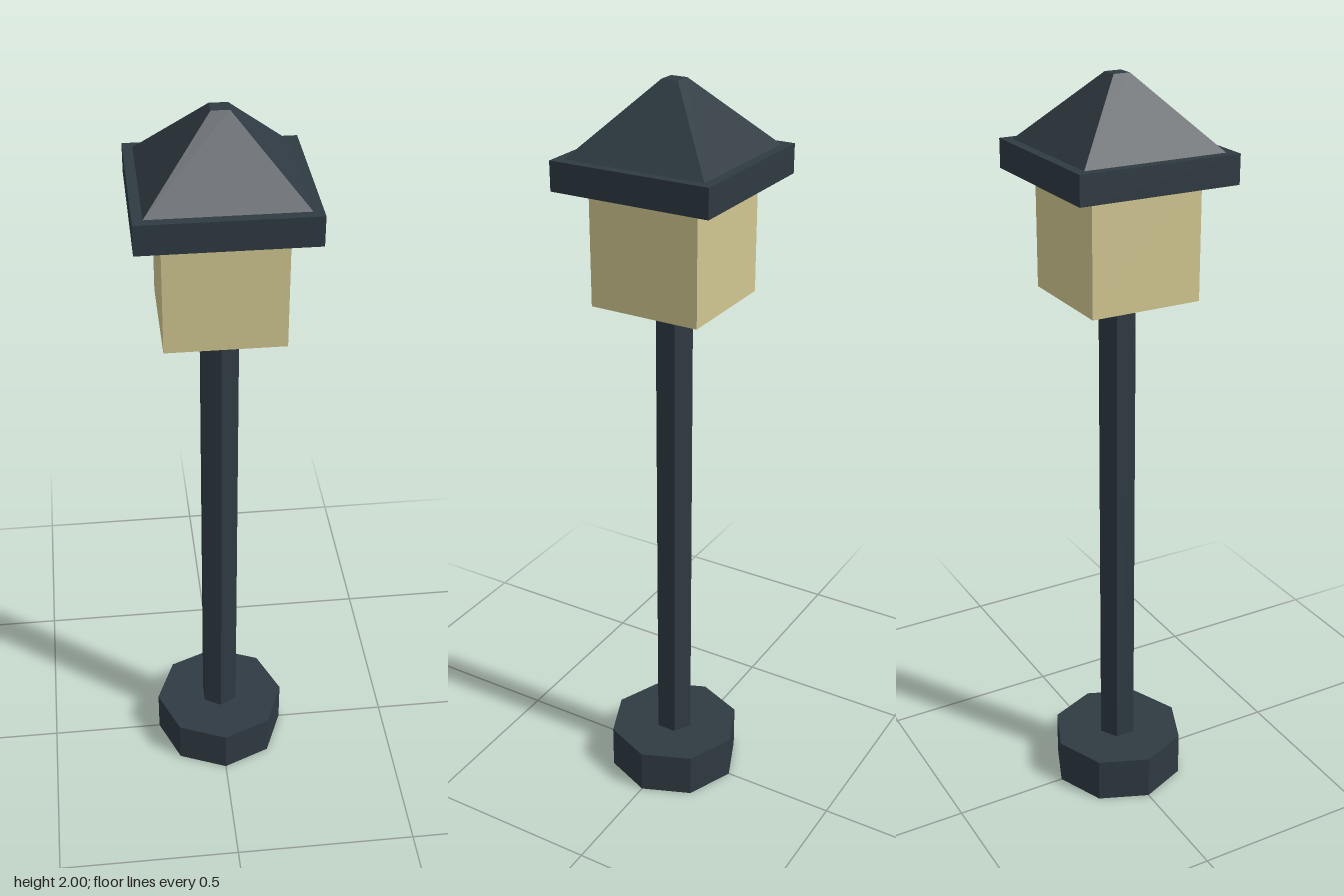
import * as THREE from 'three';

export function createModel() {
  const group = new THREE.Group();
  const iron = new THREE.MeshStandardMaterial({ color: 0x2f3a42, flatShading: true });
  iron.name = 'darkIron';
  const glow = new THREE.MeshStandardMaterial({ color: 0xd0c690, flatShading: true });
  glow.name = 'warmGlass';

  // Adds a part standing on the given height
  const add = (name, geometry, material, bottom, height) => {
    const mesh = new THREE.Mesh(geometry, material);
    mesh.name = name;
    mesh.position.y = bottom + height / 2;
    group.add(mesh);
  };

  // Octagonal foot and hexagonal post
  add('base', new THREE.CylinderGeometry(0.185, 0.185, 0.125, 8), iron, 0, 0.125);
  add('post', new THREE.CylinderGeometry(0.054, 0.054, 1.325, 6), iron, 0.125, 1.325);

  // Square lantern with its eave slab
  add('lantern', new THREE.BoxGeometry(0.3, 0.3, 0.3), glow, 1.45, 0.3);
  add('eave', new THREE.BoxGeometry(0.43, 0.075, 0.43), iron, 1.75, 0.075);

  // Truncated pyramid roof
  const roof = new THREE.CylinderGeometry(0.022 * Math.SQRT2, 0.19 * Math.SQRT2, 0.175, 4);
  roof.rotateY(Math.PI / 4);
  add('roof', roof, iron, 1.825, 0.175);

  return group;
}
